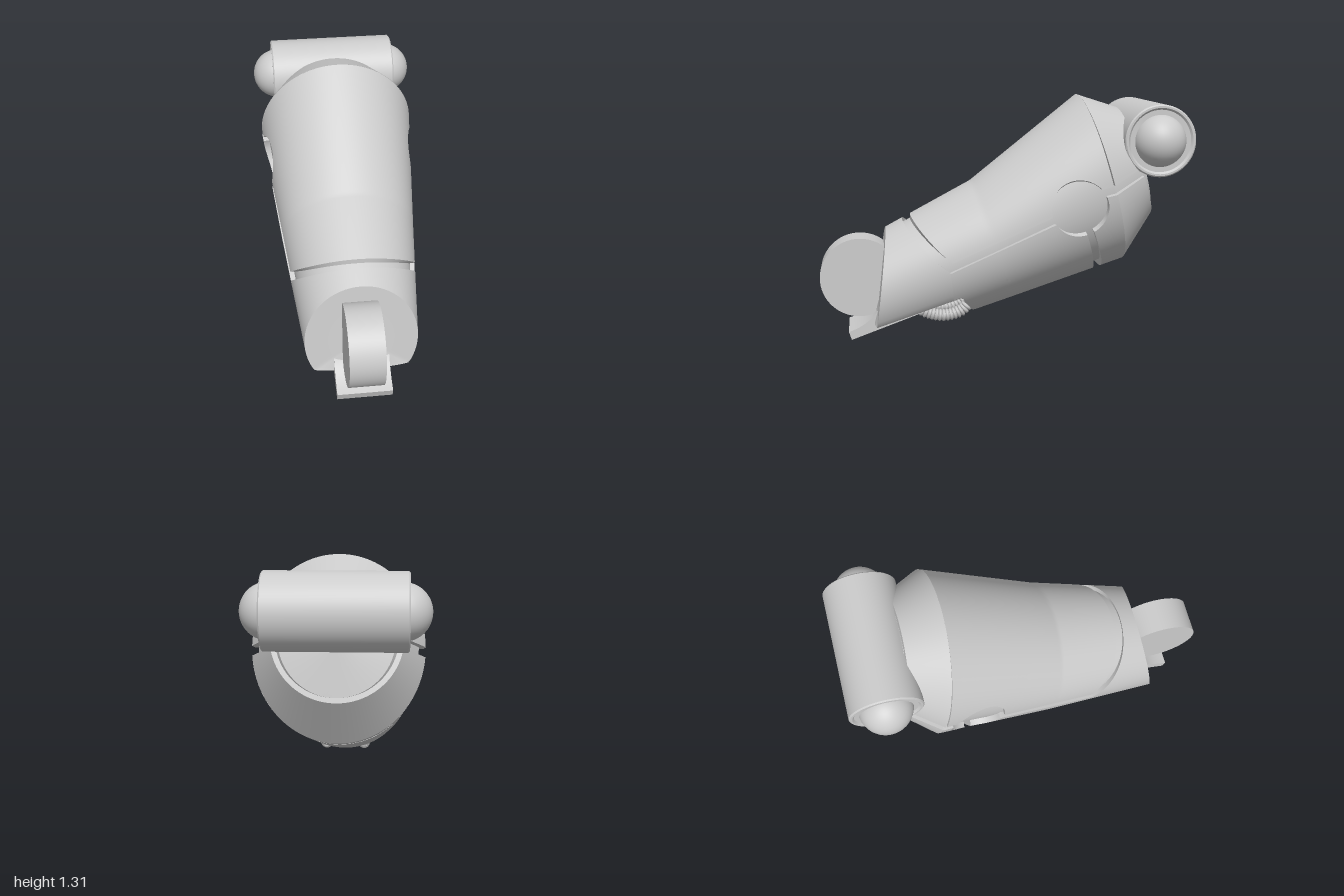
import * as THREE from 'three';
import { toCreasedNormals } from 'three/addons/utils/BufferGeometryUtils.js';

const INSET = 0.92; // scale of the inner core seen at the bottom of the seams
const lerp = THREE.MathUtils.lerp;

// Tilted elliptical stations: bottom z, bottom y, top z, top y, half width
const STATIONS = [
  [0.715, -0.06, 0.64, 0.59, 0.30],
  [-0.03, 0.183, 0.17, 0.84, 0.368],
  [-0.67, 0.393, -0.42, 1.31, 0.435],
  [-0.83, 0.64, -0.64, 1.24, 0.31],
  [-0.785, 0.91, -0.775, 0.95, 0.02],
];

function station(s) {
  const i = Math.min(Math.floor(s), STATIONS.length - 2);
  return STATIONS[i].map((v, k) => lerp(v, STATIONS[i + 1][k], s - i));
}

// Flat underside cut near the front, with a steep step behind it
const floorAt = (z) => (z > 0.245 ? 0.09 + (0.70 - z) * 0.352 : 0.25 - (0.245 - z) * 1.53);

// Point on the body: s along the limb, a around it, k = radial scale
function bodyPoint(s, a, k) {
  const [zb, yb, zt, yt, rx] = station(s);
  const r = 0.5 * k * Math.sin(a);
  const z = (zb + zt) / 2 + (zt - zb) * r;
  const y = (yb + yt) / 2 + (yt - yb) * r;
  return [rx * k * Math.cos(a), Math.max(y, floorAt(z) + (k < 1 ? 0.012 : 0)), z];
}

// Side profile position (z, y) -> s and angle on the body
function locate([z, y], lo = 0, hi = 3) {
  for (let i = 0; i < 40; i++) {
    const m = (lo + hi) / 2, [zb, yb, zt, yt] = station(m);
    if ((z - zb) * (yt - yb) - (y - yb) * (zt - zb) > 0) hi = m; else lo = m;
  }
  const [zb, yb, zt, yt] = station(lo), dz = zt - zb, dy = yt - yb;
  const v = 2 * ((z - zb) * dz + (y - yb) * dy) / (dz * dz + dy * dy) - 1;
  return [lo, Math.asin(THREE.MathUtils.clamp(v, -1, 1))];
}

// Grid over the body; its border is folded inward to give the panel thickness
function bodyGrid(nu, nv, map, k = 1, fold = INSET) {
  const pos = [], idx = [], row = nv + 3;
  for (let i = -1; i <= nu + 1; i++) {
    for (let j = -1; j <= nv + 1; j++) {
      const u = THREE.MathUtils.clamp(i / nu, 0, 1), v = THREE.MathUtils.clamp(j / nv, 0, 1);
      const edge = i < 0 || j < 0 || i > nu || j > nv;
      const [s, a] = map(u, v);
      pos.push(...bodyPoint(s, a, edge ? fold : k));
      if (i <= nu && j <= nv) {
        const p = (i + 1) * row + j + 1;
        idx.push(p, p + row, p + 1, p + 1, p + row, p + row + 1);
      }
    }
  }
  const g = new THREE.BufferGeometry();
  g.setAttribute('position', new THREE.Float32BufferAttribute(pos, 3));
  g.setIndex(idx);
  return toCreasedNormals(g, 0.4);
}

// Walk evenly along a side-profile polyline
function along(pts, u) {
  const len = pts.slice(1).map((p, i) => Math.hypot(p[0] - pts[i][0], p[1] - pts[i][1]));
  let d = u * len.reduce((a, b) => a + b, 0), i = 0;
  while (i < len.length - 1 && d > len[i]) d -= len[i++];
  const t = Math.min(1, d / len[i]);
  return [lerp(pts[i][0], pts[i + 1][0], t), lerp(pts[i][1], pts[i + 1][1], t)];
}

// Arc of the round side recess, angles in degrees in the (z, y) plane
function recessArc(from, to, n = 16) {
  return Array.from({ length: n + 1 }, (_, i) => {
    const a = THREE.MathUtils.degToRad(lerp(from, to, i / n));
    return [-0.365 + 0.15 * Math.cos(a), 0.738 + 0.15 * Math.sin(a)];
  });
}

// Panel spanning from a side edge over the top (sign 1) or under the bottom (sign -1)
function panel(edge, sign, s0, s1, nu) {
  const mid = sign * Math.PI / 2;
  return bodyGrid(nu, 72, (u, v) => {
    const [sb, ab] = locate(along(edge, u));
    const a = mid + (2 * v - 1) * Math.abs(mid - ab);
    const g = (Math.sin(a) - Math.sin(ab)) / (sign - Math.sin(ab));
    return [lerp(sb, lerp(s0, s1, u), g), a];
  });
}

export function createModel() {
  const group = new THREE.Group();
  const material = new THREE.MeshStandardMaterial({ color: 0xcccccc, side: THREE.DoubleSide });
  const add = (name, geometry, x = 0, y = 0, z = 0) => {
    const mesh = new THREE.Mesh(geometry, material);
    mesh.name = name;
    mesh.position.set(x, y, z);
    group.add(mesh);
    return mesh;
  };

  // Inner core, closed at both ends
  add('core', bodyGrid(64, 96, (u, v) => [u * 4, v * Math.PI * 2], INSET, 0));

  // Front sleeve, its rear edge slanting up along the seam
  const [sCorner, aCorner] = locate([0.31, 0.395]);
  const [sSleeveTop] = locate([0.55, 0.625]);
  add('frontSleeve', bodyGrid(24, 96, (u, v) => {
    const a = -Math.PI / 2 + v * Math.PI * 2;
    const g = Math.max(0, (Math.sin(a) - Math.sin(aCorner)) / (1 - Math.sin(aCorner)));
    return [u * lerp(sCorner, sSleeveTop, g), a];
  }));

  // Armour panels separated by seams and the round recess
  const [sCoverTop] = locate([0.505, 0.65]);
  add('upperCover', panel([[0.30, 0.45], ...recessArc(-18, -18, 1).slice(1), ...recessArc(-18, 138),
    [-0.533, 0.857]].filter((p, i) => i !== 1), 1, sCoverTop, 2, 80));
  const [sSeamFront] = locate([-0.505, 0.337]);
  const [sSeamBack] = locate([-0.55, 0.353]);
  add('lowerCover', panel([[0.31, 0.395], ...recessArc(-34, -107)], -1, sCorner, sSeamFront, 70));
  add('rearLowerCover', panel([...recessArc(-122, -204), [-0.556, 0.812]], -1, sSeamBack, 2, 24));
  add('rearUpperCap', panel([[-0.541, 0.86], [-0.705, 0.935]], 1, 2, 3, 12));
  add('rearLowerCap', panel([[-0.555, 0.812], [-0.725, 0.89]], -1, 2, 3, 12));

  // Rear hinge barrel with shallow rims and domed ends
  const barrel = new THREE.LatheGeometry([[0, -0.34], [0.165, -0.34], [0.175, -0.35], [0.185, -0.35], [0.192, -0.343],
    [0.192, 0.343], [0.185, 0.35], [0.175, 0.35], [0.165, 0.34], [0, 0.34]].map((p) => new THREE.Vector2(...p)), 64);
  add('hingeBarrel', toCreasedNormals(barrel.rotateZ(Math.PI / 2), 0.5), 0, 1.08, -0.805);
  for (const side of [-1, 1]) {
    add(side > 0 ? 'leftHingeDome' : 'rightHingeDome', new THREE.SphereGeometry(0.14, 40, 24), side * 0.318, 1.08, -0.805);
  }

  // Front wheel
  const wheel = new THREE.CylinderGeometry(0.216, 0.216, 0.185, 64).rotateZ(Math.PI / 2);
  add('frontWheel', wheel, -0.008, 0.33, 0.784);

  // Curved tongue bracket under the wheel
  const shape = new THREE.Shape();
  shape.moveTo(0.835, 0);
  shape.lineTo(0.85, 0.045);
  shape.quadraticCurveTo(0.68, 0.1, 0.645, 0.27);
  shape.lineTo(0.52, 0.27);
  shape.lineTo(0.46, 0.135);
  const tongue = new THREE.ExtrudeGeometry(shape, { depth: 0.294, bevelEnabled: false, curveSegments: 16 });
  add('tongueBracket', toCreasedNormals(tongue.translate(0, 0, -0.147).rotateY(-Math.PI / 2), 0.5));

  // Ribbed cables hanging under the step
  for (const [x, drop] of [[-0.11, 0], [0, 0.02], [0.11, 0]]) {
    const path = new THREE.CatmullRomCurve3([[0.48, 0.165], [0.42, 0.13], [0.32, 0.112], [0.23, 0.14], [0.17, 0.21]]
      .map(([z, y]) => new THREE.Vector3(x, y + drop, z)));
    const cable = new THREE.Group();
    cable.name = 'cable';
    cable.add(new THREE.Mesh(new THREE.TubeGeometry(path, 24, 0.025, 10), material));
    const ring = new THREE.TorusGeometry(0.024, 0.01, 6, 14);
    for (let i = 0; i <= 18; i++) {
      const rib = new THREE.Mesh(ring, material);
      rib.position.copy(path.getPointAt(i / 18));
      rib.quaternion.setFromUnitVectors(new THREE.Vector3(0, 0, 1), path.getTangentAt(i / 18));
      cable.add(rib);
    }
    group.add(cable);
  }
  return group;
}
